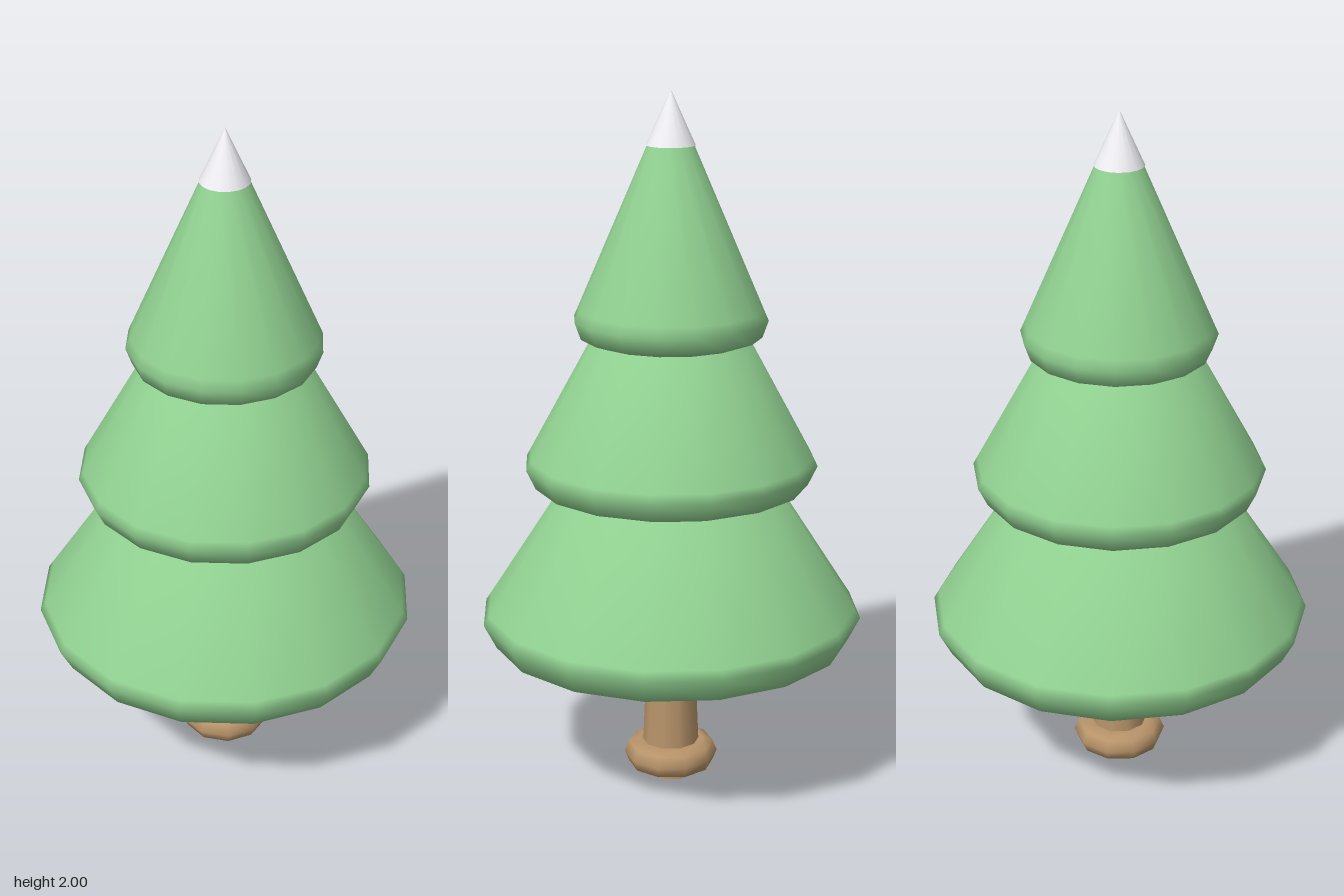
import * as THREE from 'three';

const SIDES = 16;

function material(color) {
  return new THREE.MeshStandardMaterial({ color });
}

function addMesh(group, name, geometry, mat) {
  const mesh = new THREE.Mesh(geometry, mat);
  mesh.name = name;
  group.add(mesh);
  return mesh;
}

// Profile is listed from the bottom up so the faces point outward
function lathe(profile, sides = SIDES) {
  return new THREE.LatheGeometry(profile.map(([r, y]) => new THREE.Vector2(r, y)), sides);
}

export function createModel() {
  const tree = new THREE.Group();
  tree.name = 'tree';
  const green = material(0x8fce8f);
  const brown = material(0xb8946a);
  const white = material(0xf0f0f5);

  // Three stacked tiers of foliage, each with a rounded lower rim
  const tiers = [
    { name: 'lowerFoliage', flat: [0.4, 0.405], bevel: [0.515, 0.435], rim: [0.55, 0.505], top: [0.29, 0.91] },
    { name: 'middleFoliage', flat: [0.31, 0.872], bevel: [0.392, 0.9], rim: [0.418, 0.955], top: [0.205, 1.345] },
    { name: 'upperFoliage', flat: [0.215, 1.307], bevel: [0.257, 1.322], rim: [0.274, 1.37], top: [0.064, 1.853] },
  ];
  for (const { name, flat, bevel, rim, top } of tiers) {
    // A support ring just above the rim keeps the long slope evenly shaded
    const support = rim.map((v, i) => v + (top[i] - v) * 0.06);
    const underside = [flat[0] * 0.94, flat[1]];
    addMesh(tree, name, lathe([[0, flat[1]], underside, flat, bevel, rim, support, top, [0, top[1]]]), green);
  }

  // Snow on the tip
  addMesh(tree, 'snowTip', lathe([[0, 1.85], [0.069, 1.85], [0.069, 1.85], [0, 2]]), white);

  // Tapered trunk
  const trunk = addMesh(tree, 'trunk', new THREE.CylinderGeometry(0.067, 0.086, 0.44, 10), brown);
  trunk.position.y = 0.22;
  trunk.rotation.y = Math.PI / 2;

  // Rounded collar around the foot of the trunk
  const collar = addMesh(tree, 'trunkCollar', new THREE.TorusGeometry(0.092, 0.045, 8, 10), brown);
  collar.position.y = 0.055;
  collar.rotation.x = Math.PI / 2;

  return tree;
}
